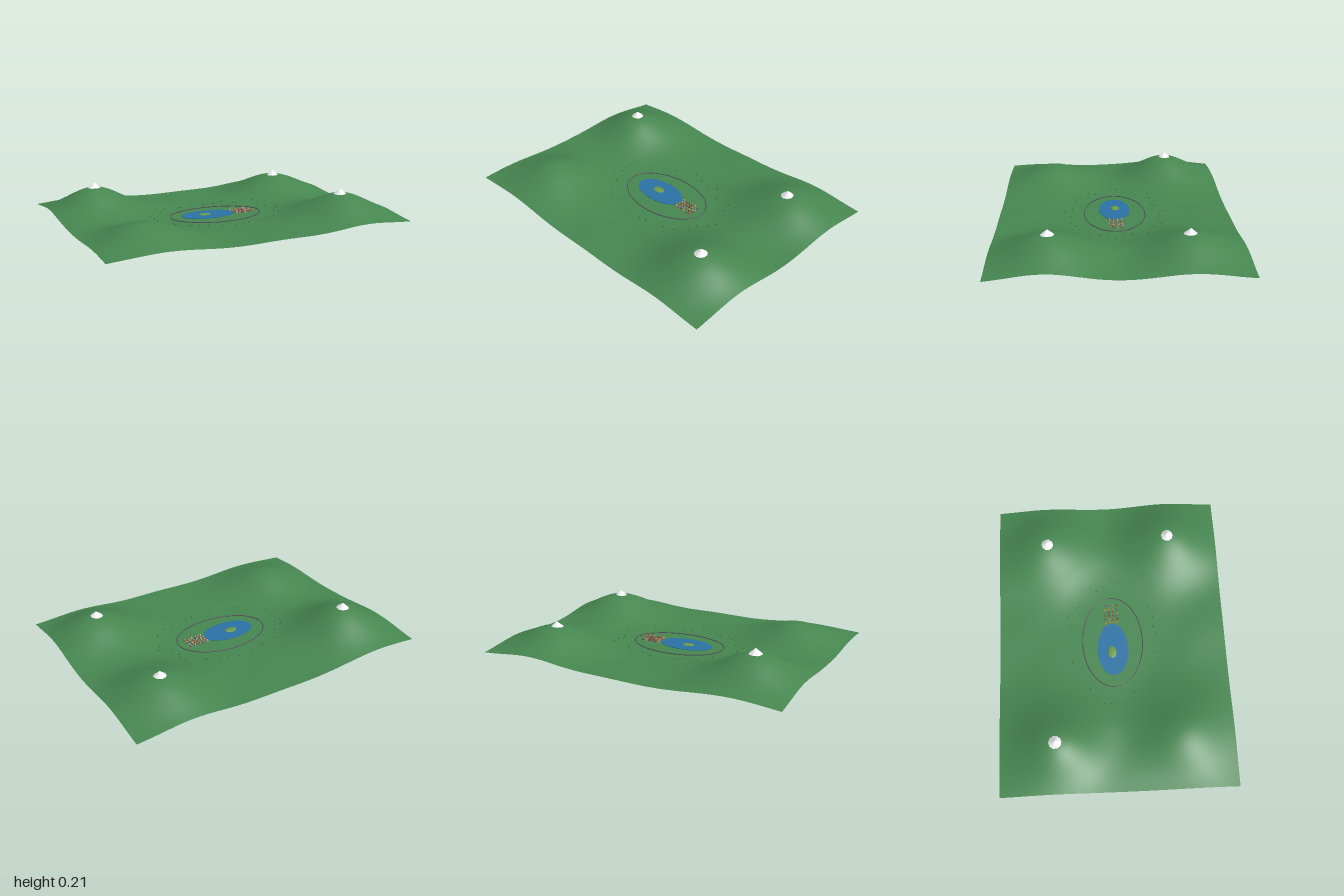
import * as THREE from 'three';

const mat = (color, extra = {}) => new THREE.MeshStandardMaterial({ color, ...extra });

// Hills: x, z, height
const HILLS = [
  [-0.7, -0.39, 0.17],
  [0.675, -0.415, 0.138],
  [0.7, 0.405, 0.15],
  [-0.66, 0.44, 0.118],
];

// Ground height: flat oval basin, rolling land outside it, four rounded hills
function groundHeight(x, z) {
  const d = Math.hypot(x / 0.55, z / 0.4);
  const outer = THREE.MathUtils.smoothstep(d, 0.6, 1.4);
  const waves = 0.004 * Math.sin(12 * x + 0.6) * Math.cos(10 * z) + 0.003 * Math.sin(5 * x - 7 * z);
  let hills = 0;
  for (const [hx, hz, h] of HILLS) {
    hills += h * Math.exp(-((x - hx) ** 2 + (z - hz) ** 2) / 0.073);
  }
  const rim = THREE.MathUtils.smoothstep(d, 0.3, 1.1);
  return 0.002 + outer * (0.006 + waves) + hills * (0.35 + 0.65 * rim);
}

// Repeatable jitter in 0..1
function seeded(seed) {
  return () => {
    seed = (seed * 16807) % 2147483647;
    return seed / 2147483647;
  };
}

export function createModel() {
  const model = new THREE.Group();
  const rand = seeded(71);

  const add = (name, geometry, material, x = 0, y = 0, z = 0, parent = model) => {
    const mesh = new THREE.Mesh(geometry, material);
    mesh.name = name;
    mesh.position.set(x, y, z);
    parent.add(mesh);
    return mesh;
  };
  const addGroup = (name) => {
    const group = new THREE.Group();
    group.name = name;
    model.add(group);
    return group;
  };

  // Terrain sheet
  const land = new THREE.PlaneGeometry(2, 1.5, 100, 75).rotateX(-Math.PI / 2);
  const p = land.attributes.position;
  for (let i = 0; i < p.count; i++) p.setY(i, groundHeight(p.getX(i), p.getZ(i)));
  land.computeVertexNormals();
  add('terrain', land, mat(0x468650, { side: THREE.DoubleSide }));

  // Snow caps on three of the hills
  const snow = mat(0xf4f4f8, { flatShading: true });
  const caps = addGroup('snowCaps');
  const capShape = new THREE.ConeGeometry(0.043, 0.036, 10);
  for (const [x, z] of HILLS.slice(0, 3)) {
    add('snowCap', capShape, snow, x, groundHeight(x, z) + 0.0125, z, caps);
  }

  // Lake with a small island
  const lake = new THREE.CylinderGeometry(1, 1, 0.003, 48).scale(0.18, 1, 0.102);
  add('lake', lake, mat(0x2a72a4), -0.055, 0.009, 0);
  const island = new THREE.SphereGeometry(1, 16, 6, 0, Math.PI * 2, 0, Math.PI / 2);
  add('island', island.scale(0.042, 0.006, 0.028), mat(0x6a9a4a), -0.075, 0.01, -0.005);

  // Oval road following the ground
  const loop = [];
  for (let i = 0; i < 48; i++) {
    const a = (i / 48) * Math.PI * 2;
    const x = 0.313 * Math.cos(a);
    const z = 0.2 * Math.sin(a);
    loop.push(new THREE.Vector3(x, groundHeight(x, z) + 0.003, z));
  }
  const path = new THREE.CatmullRomCurve3(loop, true);
  add('ringRoad', new THREE.TubeGeometry(path, 96, 0.0028, 6, true), mat(0x554c5a));

  // Village: grid of small houses with pyramid roofs
  const village = addGroup('village');
  const walls = [0x9a7a55, 0x9c9ca0, 0x7a5a48].map((c) => mat(c));
  const roofs = [0x9a4030, 0xc08a40, 0x5a7078].map((c) => mat(c, { flatShading: true }));
  const roofShape = new THREE.ConeGeometry(0.0085, 0.006, 4).rotateY(Math.PI / 4);
  for (let i = 0; i < 6; i++) {
    for (let j = 0; j < 4; j++) {
      const x = 0.133 + i * 0.0235 + (rand() - 0.5) * 0.008;
      const z = -0.04 + j * 0.026 + (rand() - 0.5) * 0.008;
      const h = 0.01 + rand() * 0.006;
      const y = groundHeight(x, z);
      const pick = Math.floor(rand() * 3);
      add('house', new THREE.BoxGeometry(0.01, h, 0.01), walls[pick], x, y + h / 2, z, village);
      add('roof', roofShape, roofs[(pick + j) % 3], x, y + h + 0.003, z, village);
    }
  }

  // Scattered trees in an oval belt around the road
  const trees = addGroup('trees');
  const treeShape = new THREE.ConeGeometry(0.0032, 0.01, 6);
  const treeMaterial = mat(0x2a5230, { flatShading: true });
  for (let i = 0; i < 36; i++) {
    const a = ((i + rand() * 0.7) / 36) * Math.PI * 2;
    const r = 0.83 + rand() * 0.2;
    const x = 0.47 * r * Math.cos(a);
    const z = 0.335 * r * Math.sin(a);
    add('tree', treeShape, treeMaterial, x, groundHeight(x, z) + 0.005, z, trees);
  }

  return model;
}
